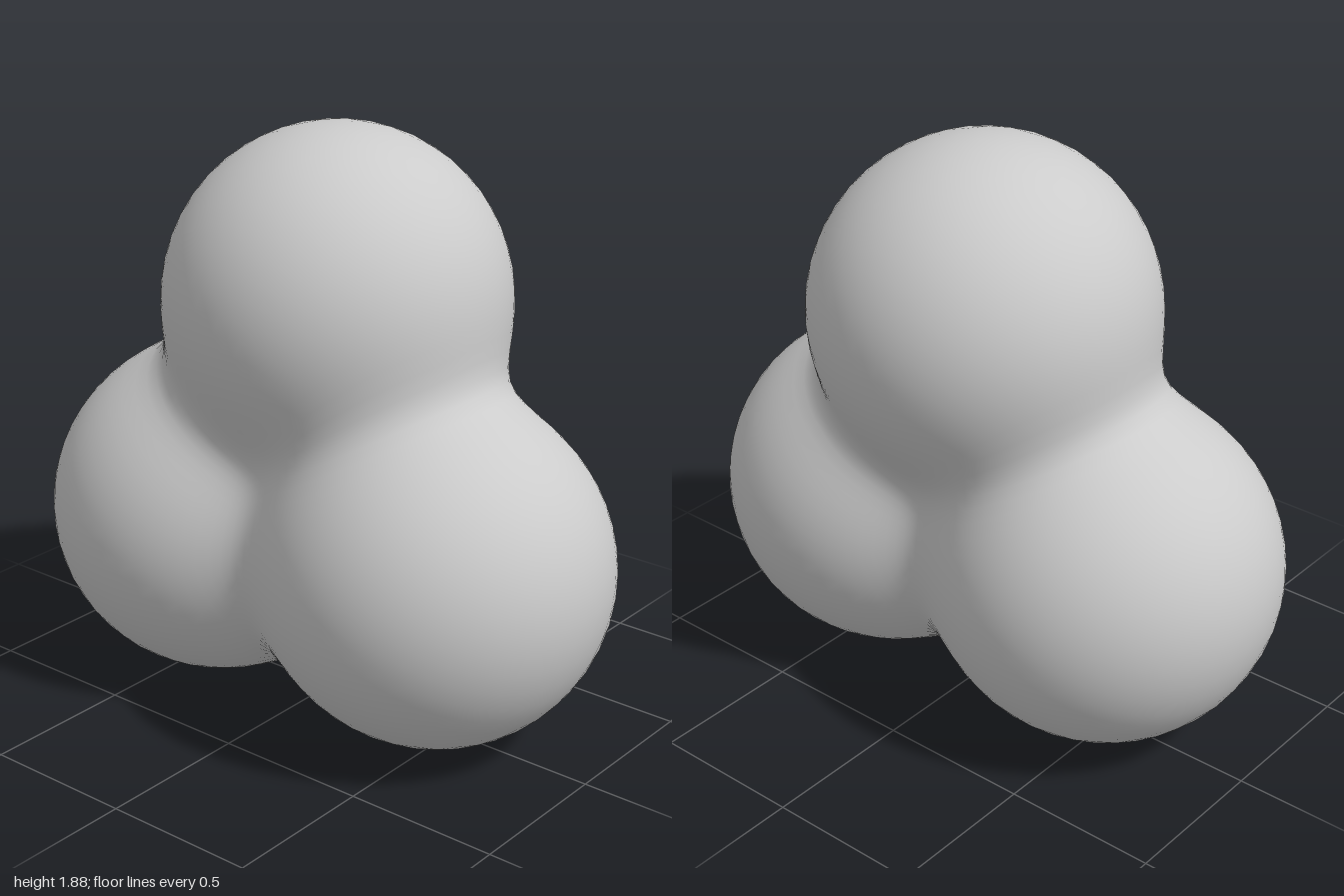
import * as THREE from 'three';

// Three lobes: centre x, y, z and radius
const LOBES = [
  { c: new THREE.Vector3(-0.44, 0.565, 0.025), r: 0.558 },
  { c: new THREE.Vector3(0.44, 0.57, 0.018), r: 0.556 },
  { c: new THREE.Vector3(0, 1.345, -0.04), r: 0.546 },
];
const BLEND = 0.08;

// Smooth union of the lobes: negative inside, positive outside
function field(p) {
  let sum = 0;
  for (const { c, r } of LOBES) sum += Math.exp(-(p.distanceTo(c) - r) / BLEND);
  return -BLEND * Math.log(sum);
}

// Outward direction: the lobes' directions weighted by nearness
function fieldNormal(p) {
  const n = new THREE.Vector3();
  for (const { c, r } of LOBES) {
    const d = p.distanceTo(c);
    n.addScaledVector(p.clone().sub(c).divideScalar(d), Math.exp(-(d - r) / BLEND));
  }
  return n.normalize();
}

// Push every vertex of a sphere out from the shared core until it meets the blended skin
function blendedLobes(detail) {
  const geometry = new THREE.IcosahedronGeometry(1, detail);
  const position = geometry.attributes.position;
  const normal = geometry.attributes.normal;
  const core = new THREE.Vector3(0, 0.83, 0);
  const dir = new THREE.Vector3();
  const p = new THREE.Vector3();
  for (let i = 0; i < position.count; i++) {
    dir.fromBufferAttribute(position, i).normalize();
    let near = 0, far = 1.6;
    for (let step = 0; step < 24; step++) {
      const mid = (near + far) / 2;
      p.copy(core).addScaledVector(dir, mid);
      if (field(p) < 0) near = mid; else far = mid;
    }
    position.setXYZ(i, p.x, p.y, p.z);
    const n = fieldNormal(p);
    normal.setXYZ(i, n.x, n.y, n.z);
  }
  return geometry;
}

export function createModel() {
  const group = new THREE.Group();
  group.name = 'threeLobedBlob';
  const material = new THREE.MeshStandardMaterial({ color: 0xcccccc });
  const body = new THREE.Mesh(blendedLobes(16), material);
  body.name = 'blendedLobes';
  group.add(body);
  return group;
}
